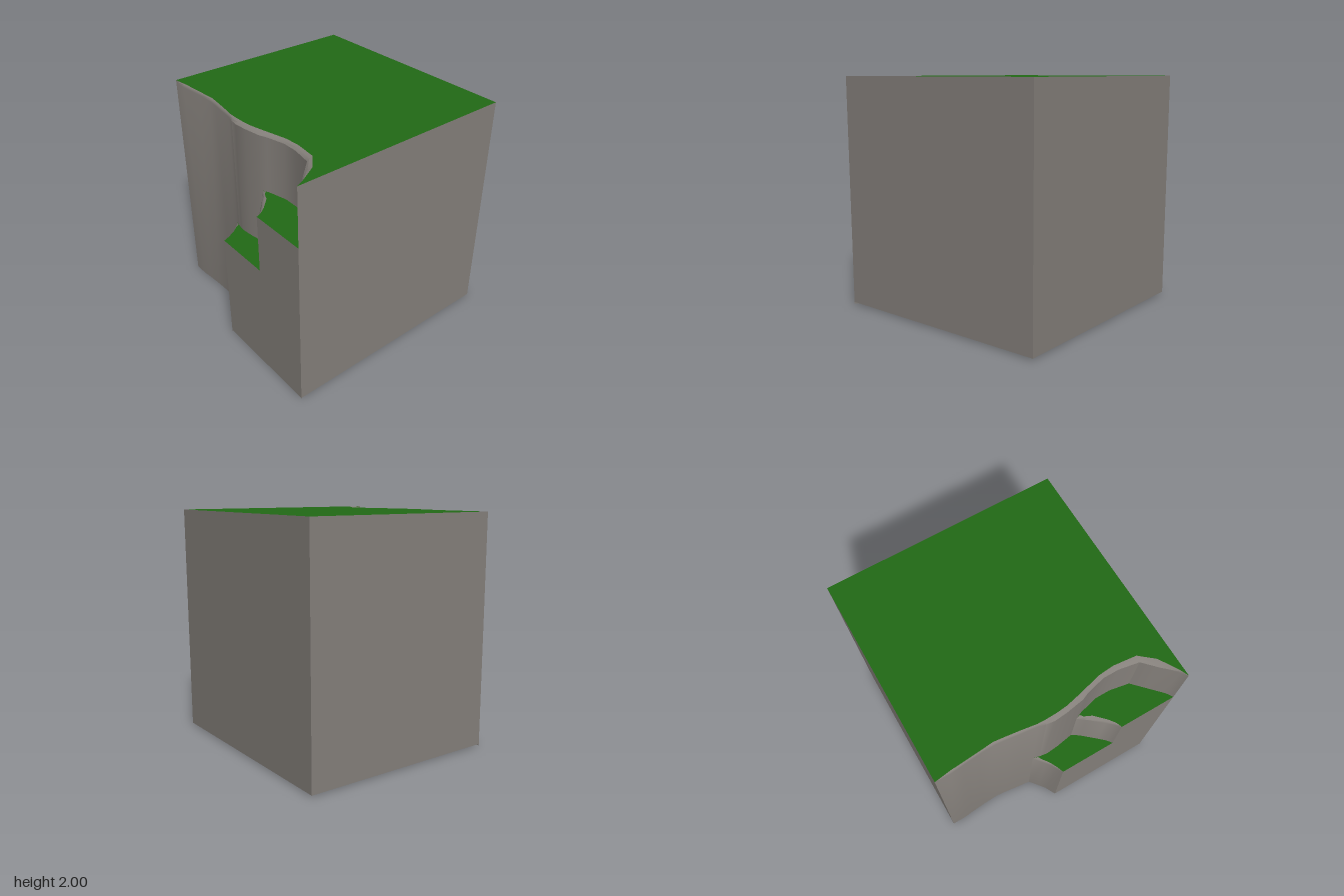
import * as THREE from 'three';
import { toCreasedNormals } from 'three/addons/utils/BufferGeometryUtils.js';

const E = 0.995;     // half width of the block
const FOOT = 0.015;  // flat sides stop here, cliff walls reach the ground

const rock = new THREE.MeshStandardMaterial({ color: 0x85807b, side: THREE.DoubleSide });
const grass = new THREE.MeshStandardMaterial({ color: 0x226a16, side: THREE.DoubleSide });

// Plan outlines as [wallX, wallZ, rimX, rimZ], from the front towards the back
const cliff = [
  [-E, E, -E, E], [-0.94, 0.96, -0.93, 0.965], [-0.835, 0.86, -0.77, 0.87], [-0.72, 0.75, -0.67, 0.75],
  [-0.69, 0.58, -0.65, 0.56], [-0.69, 0.45, -0.66, 0.43], [-0.73, 0.29, -0.70, 0.27],
  [-0.755, 0.23, -0.715, 0.21], [-0.78, 0.08, -0.74, 0.1], [-0.79, -0.03, -0.75, 0],
  [-0.78, -0.10, -0.752, -0.1], [-0.765, -0.16, -0.75, -0.16], [-0.75, -0.29, -0.73, -0.29],
  [-0.735, -0.4, -0.715, -0.41], [-0.725, -0.5, -0.705, -0.5], [-0.73, -0.64, -0.715, -0.62],
  [-0.74, -0.77, -0.725, -0.75], [-0.75, -0.87, -0.732, -0.86], [-0.75, -E, -0.75, -E],
];
const upperStep = [
  [-E, 0.5, -E, 0.5], [-0.95, 0.465, -0.945, 0.48], [-0.9, 0.41, -0.885, 0.435],
  [-0.8, 0.295, -0.8, 0.35], [-0.775, 0.26, -0.77, 0.285], [-0.755, 0.23, -0.745, 0.265],
];
const lowerStep = [
  [-E, 0, -E, 0], [-0.95, -0.025, -0.94, -0.02], [-0.9, -0.05, -0.87, -0.055],
  [-0.85, -0.09, -0.81, -0.1], [-0.765, -0.16, -0.78, -0.115],
];
const wallLine = (rows) => rows.map(([x, z]) => [x, z]);
const rimLine = (rows) => rows.map((r) => [r[2], r[3]]);

function add(group, name, geometry, material) {
  const mesh = new THREE.Mesh(geometry, material);
  mesh.name = name;
  group.add(mesh);
}

// Upright curved wall with a small rounded lip under its top edge
function wallGeometry(rows, top) {
  const pos = [], index = [], n = 4;
  rows.forEach(([x, z, rx, rz], i) => {
    pos.push(x, 0, z, x, top - 0.025, z, x + (rx - x) * 0.4, top - 0.008, z + (rz - z) * 0.4, rx, top, rz);
    if (i === rows.length - 1) return;
    for (let j = 0; j < n - 1; j++) {
      const a = i * n + j, b = a + n;
      index.push(a, a + 1, b, a + 1, b + 1, b);
    }
  });
  const g = new THREE.BufferGeometry();
  g.setAttribute('position', new THREE.Float32BufferAttribute(pos, 3));
  g.setIndex(index);
  return toCreasedNormals(g, 0.6);
}

// Flat ground at height y from a plan outline of [x, z]
function groundGeometry(outline, y) {
  const shape = new THREE.Shape(outline.map(([x, z]) => new THREE.Vector2(x, -z)));
  return new THREE.ShapeGeometry(shape).rotateX(-Math.PI / 2).translate(0, y, 0);
}

// Flat upright side, centred at (x, z) and turned about y
function sideGeometry(width, top, x, z, turn) {
  return new THREE.PlaneGeometry(width, top - FOOT)
    .rotateY(turn).translate(x, (top + FOOT) / 2, z);
}

export function createModel() {
  const model = new THREE.Group();
  model.name = 'steppedCliffBlock';

  // Grass on the plateau and the two ledges
  const joinUpper = 8; // cliff rows covered by the upper ledge
  const joinLower = 12; // cliff rows covered by both ledges
  const cliffWall = wallLine(cliff);
  add(model, 'plateauGrass', groundGeometry([...rimLine(cliff), [E, -E], [E, E]], 2), grass);
  add(model, 'upperLedgeGrass', groundGeometry(
    [...cliffWall.slice(0, joinUpper), ...rimLine(upperStep).reverse()], 1.5), grass);
  add(model, 'lowerLedgeGrass', groundGeometry(
    [...wallLine(upperStep), ...cliffWall.slice(joinUpper, joinLower), ...rimLine(lowerStep).reverse()], 1), grass);

  // Curved rock walls
  add(model, 'cliffWall', wallGeometry(cliff, 2), rock);
  add(model, 'upperLedgeWall', wallGeometry(upperStep, 1.5), rock);
  add(model, 'lowerLedgeWall', wallGeometry(lowerStep, 1), rock);

  // Flat rock sides; the underside stays open
  add(model, 'frontSide', sideGeometry(2 * E, 2, 0, E, 0), rock);
  add(model, 'leftSide', sideGeometry(2 * E, 2, E, 0, Math.PI / 2), rock);
  add(model, 'backSide', sideGeometry(E + 0.75, 2, (E - 0.75) / 2, -E, Math.PI), rock);
  add(model, 'upperLedgeSide', sideGeometry(E - 0.5, 1.5, -E, (E + 0.5) / 2, -Math.PI / 2), rock);
  add(model, 'lowerLedgeSide', sideGeometry(0.5, 1, -E, 0.25, -Math.PI / 2), rock);

  return model;
}
